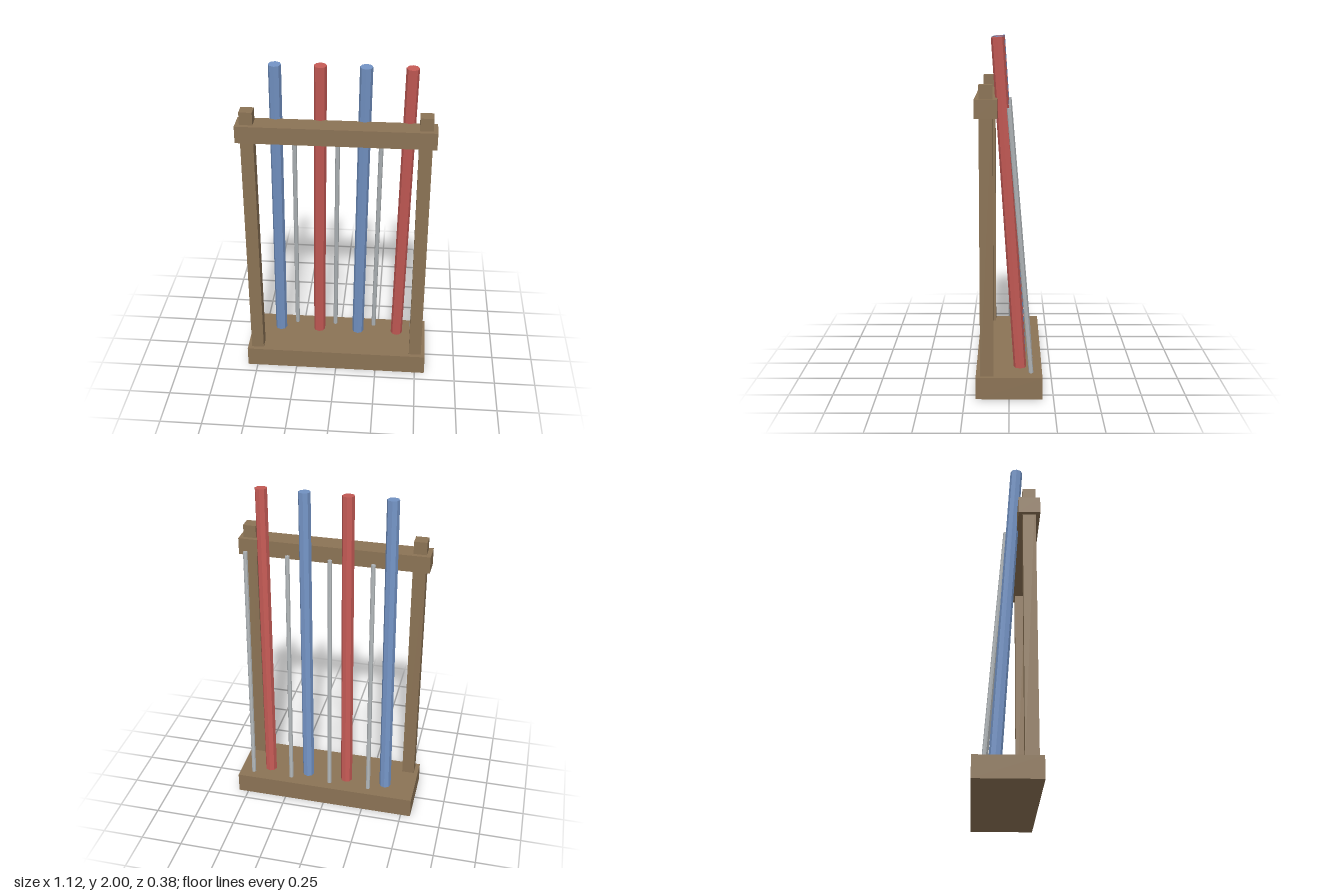
import * as THREE from 'three';

const material = (color) => new THREE.MeshStandardMaterial({ color, flatShading: true });

export function createModel() {
  const group = new THREE.Group();
  const wood = material(0x8b7355);
  const blue = material(0x7393c4);
  const red = material(0xc45a55);
  const metal = material(0xb0b5b8);

  function box(name, w, h, d, x, y, z) {
    const mesh = new THREE.Mesh(new THREE.BoxGeometry(w, h, d), wood);
    mesh.name = name;
    mesh.position.set(x, y, z);
    group.add(mesh);
  }

  // Eight-sided rod running from one point to another
  function rod(name, from, to, radius, mat) {
    const axis = to.clone().sub(from);
    const mesh = new THREE.Mesh(new THREE.CylinderGeometry(radius, radius, axis.length(), 8), mat);
    mesh.name = name;
    mesh.position.copy(from).add(to).multiplyScalar(0.5);
    mesh.quaternion.setFromUnitVectors(new THREE.Vector3(0, 1, 0), axis.normalize());
    group.add(mesh);
  }

  // Wooden frame
  box('base', 1.12, 0.125, 0.375, 0, 0.0625, 0);
  box('topRail', 1.12, 0.1, 0.125, 0, 1.625, 0.125);
  box('leftPost', 0.075, 1.65, 0.075, 0.4975, 0.925, 0.125);
  box('rightPost', 0.075, 1.65, 0.075, -0.4975, 0.925, 0.125);

  // Leaning poles in alternating colours, each with a thin rod beside it
  for (let i = 0; i < 4; i++) {
    const x = -0.34 + i * 0.25;
    rod('pole' + (i + 1), new THREE.Vector3(x - 0.035, 0.11, -0.064),
      new THREE.Vector3(x, 1.998, 0.062), 0.036, i % 2 ? red : blue);
    rod('thinRod' + (i + 1), new THREE.Vector3(x + 0.064, 0.11, -0.126),
      new THREE.Vector3(x + 0.09, 1.625, -0.001), 0.0135, metal);
  }

  return group;
}
